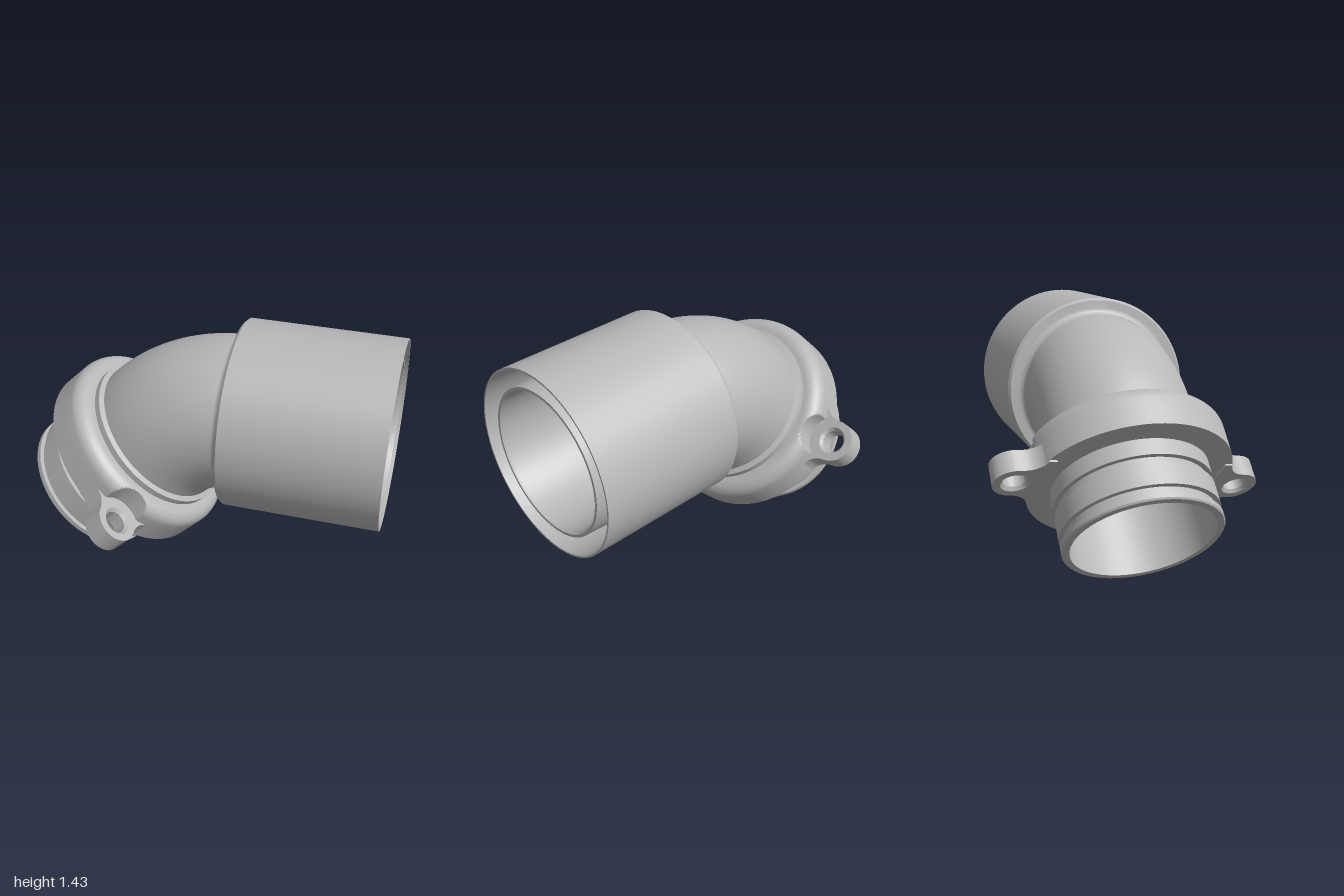
import * as THREE from 'three';
import { toCreasedNormals } from 'three/addons/utils/BufferGeometryUtils.js';

const AXIS_Y = 0.935;      // height of the horizontal socket axis
const BEND = 0.6;          // elbow centreline radius
const BEND_X = 0.1755;     // where the bend meets the socket
const TUBE = 0.415, BORE = 0.375;
const LUG_R = 0.617, LUG_ANGLE = Math.atan2(0.61, 0.095);
const LUG_BOTTOM = 0.325, LUG_TOP = 0.445;

const grey = new THREE.MeshStandardMaterial({ color: 0xb8b8b8, side: THREE.DoubleSide });
grey.name = 'grey plastic';

function addMesh(parent, name, geometry) {
  const mesh = new THREE.Mesh(geometry, grey);
  mesh.name = name;
  parent.add(mesh);
  return mesh;
}

function lathe(points, segments = 128) {
  return new THREE.LatheGeometry(points.map(([r, y]) => new THREE.Vector2(r, y)), segments);
}

// quarter arc points: centre (cx, cy), from angle a to b
function arc(cx, cy, r, a, b, n = 8) {
  return Array.from({ length: n + 1 }, (_, i) => {
    const t = a + (b - a) * i / n;
    return [cx + r * Math.cos(t), cy + r * Math.sin(t)];
  });
}

const creased = (geometry) => toCreasedNormals(geometry, 0.5);

// Collar with a round clearance cut above each lug
function collarGeometry() {
  const geometry = lathe([
    [0.4, 0.335], [0.54, 0.335], [0.54, LUG_TOP], [0.54, LUG_TOP + 0.001],
    ...arc(0.46, 0.495, 0.08, 0, Math.PI / 2, 10), [0.4, 0.575],
  ], 256);
  const pos = geometry.attributes.position;
  const cut = 0.135;
  for (let i = 0; i < pos.count; i++) {
    if (pos.getY(i) < LUG_TOP + 0.0005) continue;
    const x = pos.getX(i), z = pos.getZ(i), r = Math.hypot(x, z);
    const delta = Math.atan2(z, x) - LUG_ANGLE;
    const side = LUG_R * Math.sin(delta);
    if (Math.abs(side) >= cut) continue;
    const limit = LUG_R * Math.abs(Math.cos(delta)) - Math.sqrt(cut * cut - side * side);
    const k = Math.min(r, limit) / r;
    pos.setX(i, x * k);
    pos.setZ(i, z * k);
  }
  return creased(geometry);
}

// Screw lug: rounded ear flaring into the collar, with a hole
function lugGeometry() {
  const w = 0.115;
  const shape = new THREE.Shape();
  shape.moveTo(0.46, -0.2);
  shape.lineTo(0.5, -0.2);
  shape.quadraticCurveTo(0.53, -w, LUG_R, -w);
  shape.absarc(LUG_R, 0, w, -Math.PI / 2, Math.PI / 2, false);
  shape.quadraticCurveTo(0.53, w, 0.5, 0.2);
  shape.lineTo(0.46, 0.2);
  shape.closePath();
  const hole = new THREE.Path();
  hole.absarc(LUG_R, 0, 0.075, 0, Math.PI * 2, true);
  shape.holes.push(hole);
  const geometry = new THREE.ExtrudeGeometry(shape, {
    depth: LUG_TOP - LUG_BOTTOM, bevelEnabled: false, curveSegments: 24,
  });
  geometry.rotateX(-Math.PI / 2);
  geometry.translate(0, LUG_BOTTOM, 0);
  return creased(geometry);
}

export function createModel() {
  const model = new THREE.Group();
  model.name = 'pipeElbow';

  // Wide double-walled socket, lathed along +x
  const socket = new THREE.Group();
  socket.name = 'socket';
  socket.position.y = AXIS_Y;
  socket.rotation.z = -Math.PI / 2;
  model.add(socket);
  addMesh(socket, 'socketBody', creased(lathe([
    [TUBE, 0.115], ...arc(0.45, 0.12, 0.035, Math.PI, Math.PI / 2), [0.492, 0.157],
    [0.505, 0.172], [0.505, 1], [0.495, 1],     // outer wall and rim
    [0.47, 0.4], [0.42, 0.4],                   // annular gap
    [0.4, 0.985], [0.385, 0.985],               // inner sleeve
    [0.378, 0.97], [BORE, BEND_X],
  ])));

  // 45 degree bend, outer skin and bore
  for (const [name, radius] of [['elbowOuter', TUBE], ['elbowBore', BORE]]) {
    const bend = addMesh(model, name, new THREE.TorusGeometry(BEND, radius, 96, 48, Math.PI / 4));
    bend.position.set(BEND_X, AXIS_Y - BEND, 0);
    bend.rotation.z = Math.PI / 2;
  }

  // Slanted spigot: local y runs up the pipe axis
  const spigot = new THREE.Group();
  spigot.name = 'spigot';
  spigot.position.set(-0.708, 0.3, 0);
  spigot.rotation.z = -Math.PI / 4;
  model.add(spigot);
  addMesh(spigot, 'groovedPipe', creased(lathe([
    [BORE, 0.65], [BORE, 0], [0.408, 0], [0.415, 0.008], [0.415, 0.035],
    [0.39, 0.035], [0.39, 0.08], [0.415, 0.08], [0.415, 0.2],
    [0.39, 0.2], [0.39, 0.245], [0.415, 0.245], [0.415, 0.57],
    [0.442, 0.57], [0.442, 0.61], [TUBE, 0.62], [TUBE, 0.65],
  ])));
  addMesh(spigot, 'collar', collarGeometry());

  // Two opposite lugs with chamfered hole linings
  const lugShape = lugGeometry();
  const lining = creased(lathe([
    [0.075, LUG_TOP], [0.06, LUG_TOP - 0.018], [0.06, LUG_BOTTOM + 0.018], [0.075, LUG_BOTTOM],
  ], 48));
  for (let i = 0; i < 2; i++) {
    const lug = new THREE.Group();
    lug.name = i ? 'backLug' : 'frontLug';
    lug.rotation.y = -LUG_ANGLE + i * Math.PI;
    addMesh(lug, 'lugEar', lugShape);
    addMesh(lug, 'lugHole', lining).position.x = LUG_R;
    spigot.add(lug);
  }
  return model;
}
